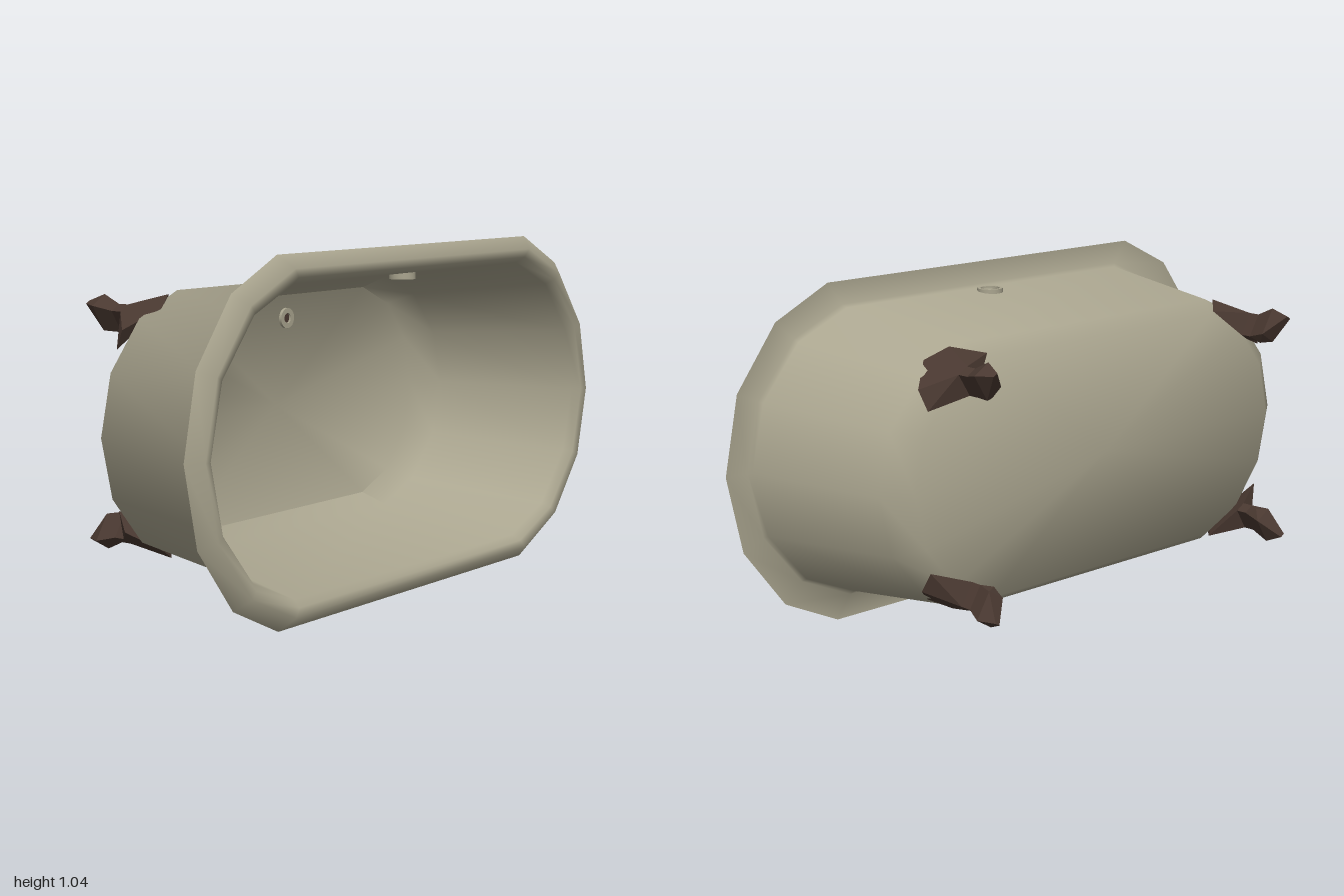
import * as THREE from 'three';
import { toCreasedNormals } from 'three/addons/utils/BufferGeometryUtils.js';
import { ConvexGeometry } from 'three/addons/geometries/ConvexGeometry.js';

const CENTRE_Y = 0.52;

// Stadium-like ring of 14 points: two straight sides and faceted round ends.
function ring(hx, hy, straight) {
  const quarter = [[0, 1], [0.5, 0.82], [0.87, 0.455], [1, 0]]
    .map(([u, v]) => [straight + u * (hx - straight), v * hy]);
  const right = [
    ...quarter.map(([x, y]) => [x, -y]),
    ...quarter.slice(0, 3).reverse(),
  ];
  return [...right, ...right.map(([x, y]) => [-x, -y])];
}

// Skin the rings in order; the first and last levels are centre points.
function loft(levels) {
  const positions = [], index = [];
  const n = 14;
  for (const [z, hx, hy, straight] of levels) {
    for (const [x, y] of ring(hx, hy, straight)) positions.push(x, y + CENTRE_Y, z);
  }
  for (let i = 0; i < levels.length - 1; i++) {
    for (let j = 0; j < n; j++) {
      const a = i * n + j, b = i * n + (j + 1) % n;
      const c = b + n, d = a + n;
      if (i > 0 && i < levels.length - 2) index.push(a, b, c, a, c, d);
      else if (i === 0) index.push(a, c, d);
      else index.push(a, b, c);
    }
  }
  const geometry = new THREE.BufferGeometry();
  geometry.setAttribute('position', new THREE.Float32BufferAttribute(positions, 3));
  geometry.setIndex(index);
  return toCreasedNormals(geometry, 1.05);
}

// Hollow fitting ring around the local y axis.
function fittingRing(inner, outer, height) {
  const h = height / 2;
  const profile = [[inner, -h], [outer, -h], [outer, h], [inner, h], [inner, -h]]
    .map(([x, y]) => new THREE.Vector2(x, y));
  return toCreasedNormals(new THREE.LatheGeometry(profile, 16), 0.7);
}

// One claw foot, placed on a corner and aimed diagonally outward.
function createFoot(sx, sy, material) {
  const foot = new THREE.Group();
  // t runs along the tub's corner, o points outward from it
  const at = ([t, o, z]) => new THREE.Vector3(
    sx * (0.58 + 0.85 * t + 0.52 * o),
    CENTRE_Y + sy * (0.3 - 0.52 * t + 0.85 * o),
    z,
  );
  const section = (wt, o0, o1, z) => [[-wt, o0, z], [wt, o0, z], [wt, o1, z], [-wt, o1, z]];
  const neck = section(0.018, -0.026, 0.05, -0.24);
  const ankle = section(0.018, -0.026, 0.05, -0.275);
  const toes = section(0.03, -0.015, 0.073, -0.33);
  const parts = {
    footPlate: [[-0.127, 0, -0.19], [0.13, 0, -0.19], [-0.07, 0.057, -0.118],
      [0.107, 0.054, -0.16], [0.004, 0.062, -0.085], ...neck],
    footLeg: [...neck, ...ankle],
    footPaw: [...ankle, [0, -0.035, -0.31], ...toes],
    footToe: [...toes, [-0.008, 0.062, -0.38], [0.008, 0.062, -0.38]],
  };
  for (const [name, points] of Object.entries(parts)) {
    const mesh = new THREE.Mesh(new ConvexGeometry(points.map(at)), material);
    mesh.name = name;
    foot.add(mesh);
  }
  return foot;
}

export function createModel() {
  const model = new THREE.Group();
  model.name = 'bathtub';
  const enamel = new THREE.MeshStandardMaterial({ color: 0xaaa58f });
  enamel.name = 'stone enamel';
  const bronze = new THREE.MeshStandardMaterial({ color: 0x4a3931 });
  bronze.name = 'dark bronze';

  const add = (name, geometry, material, x = 0, y = 0, z = 0) => {
    const mesh = new THREE.Mesh(geometry, material);
    mesh.name = name;
    mesh.position.set(x, y, z);
    model.add(mesh);
    return mesh;
  };

  // Tub shell: z, half width, half height, half straight length
  add('tub', loft([
    [-0.193, 0, 0, 0],
    [-0.19, 0.74, 0.355, 0.46],
    [-0.13, 0.82, 0.393, 0.5],
    [0.33, 0.915, 0.438, 0.56],
    [0.34, 0.925, 0.448, 0.57],
    [0.34, 1.0, 0.518, 0.62],
    [0.38, 0.96, 0.48, 0.59],
    [0.375, 0.935, 0.455, 0.57],
    [0.35, 0.915, 0.438, 0.56],
    [-0.1, 0.8, 0.378, 0.48],
    [-0.17, 0.72, 0.342, 0.45],
    [-0.172, 0, 0, 0],
  ]), enamel);

  // Overflow ring through the upper wall
  add('overflowRing', fittingRing(0.03, 0.04, 0.03), enamel, 0.04, 0.948, 0.28);

  // Drain set in the floor
  add('drainRing', fittingRing(0.016, 0.032, 0.012), enamel, 0.045, 0.79, -0.167)
    .rotation.x = Math.PI / 2;
  add('drainHole', new THREE.CircleGeometry(0.017, 16), bronze, 0.045, 0.79, -0.168);

  // Four claw feet
  for (const sx of [-1, 1]) {
    for (const sy of [-1, 1]) {
      const foot = createFoot(sx, sy, bronze);
      foot.name = `${sy > 0 ? 'upper' : 'lower'}${sx > 0 ? 'Left' : 'Right'}Foot`;
      model.add(foot);
    }
  }
  return model;
}
